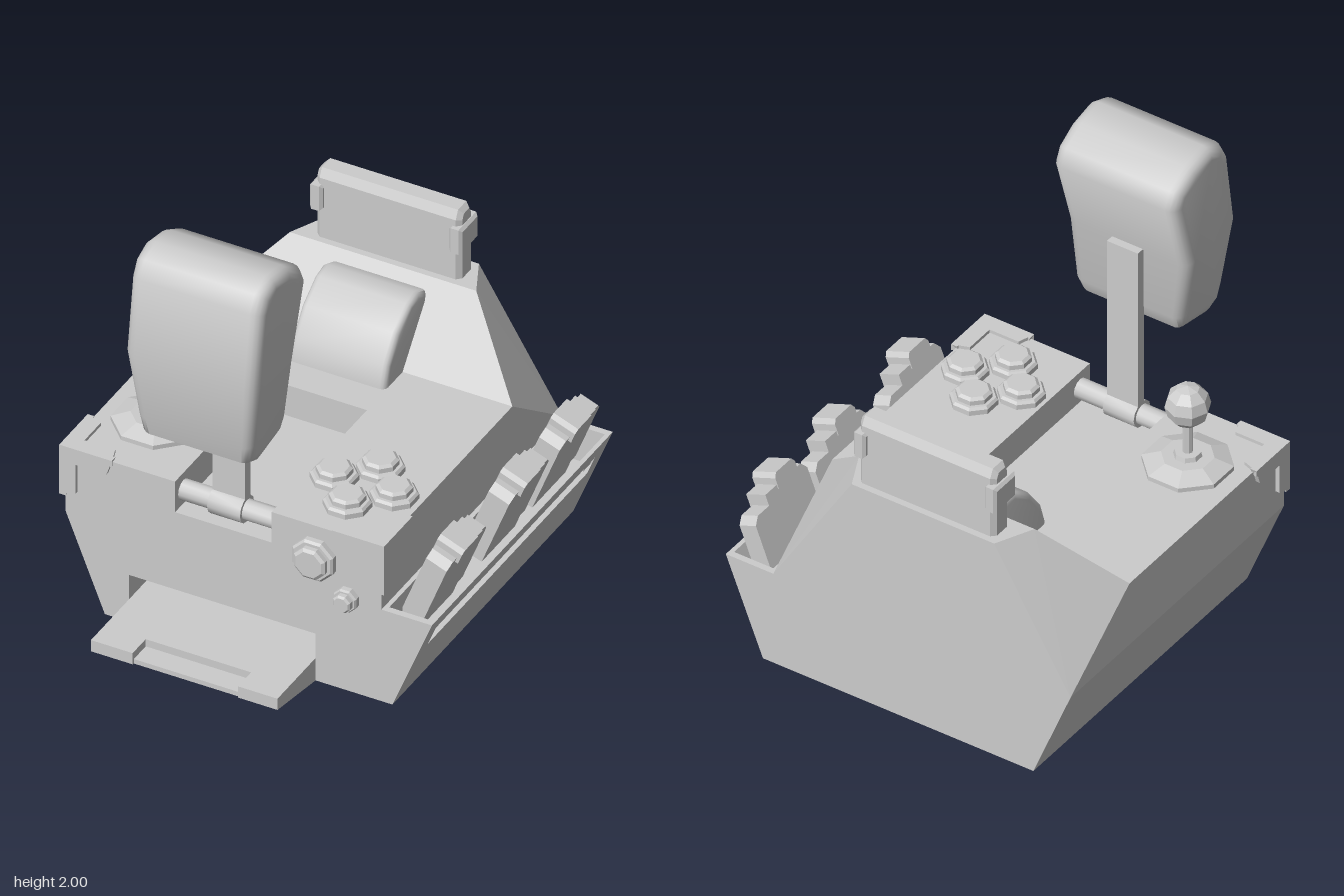
import * as THREE from 'three';
import { toCreasedNormals } from 'three/addons/utils/BufferGeometryUtils.js';

const flat = new THREE.MeshStandardMaterial({ color: 0xcccccc, flatShading: true });
const shell = new THREE.MeshStandardMaterial({ color: 0xcccccc, flatShading: true, side: THREE.DoubleSide });
const smooth = new THREE.MeshStandardMaterial({ color: 0xcccccc });

function add(parent, name, geo, mat = flat, x = 0, y = 0, z = 0) {
  const m = new THREE.Mesh(geo, mat);
  m.name = name;
  m.position.set(x, y, z);
  parent.add(m);
  return m;
}

const shapeOf = pts => new THREE.Shape(pts.map(p => new THREE.Vector2(p[0], p[1])));

// Planar polygon in space (counter-clockwise from its front), optionally with holes, as triangles.
function face(out, pts, ...holes) {
  const v = l => l.map(p => new THREE.Vector3(...p));
  const outer = v(pts), inner = holes.map(v);
  const n = new THREE.Vector3();
  outer.forEach((a, i) => n.add(a.clone().cross(outer[(i + 1) % outer.length])));
  n.normalize();
  const u = outer[1].clone().sub(outer[0]).normalize();
  const w = n.clone().cross(u);
  const flatten = l => l.map(p => new THREE.Vector2(p.dot(u), p.dot(w)));
  const all = outer.concat(...inner), all2 = flatten(all);
  for (const [a, b, c] of THREE.ShapeUtils.triangulateShape(flatten(outer), inner.map(flatten))) {
    const up = all2[b].clone().sub(all2[a]).cross(all2[c].clone().sub(all2[a])) > 0;
    for (const i of up ? [a, b, c] : [a, c, b]) out.push(...all[i].toArray());
  }
}

// Side profile of [z, y] points swept from x0 to x1, with an optional rounded rim.
function sweepX(pts, x0, x1, bevel = 0, segments = 3) {
  const g = new THREE.ExtrudeGeometry(shapeOf(pts), {
    depth: x1 - x0 - 2 * bevel, bevelEnabled: bevel > 0, bevelThickness: bevel,
    bevelSize: bevel, bevelOffset: -bevel, bevelSegments: segments,
  });
  return g.rotateY(-Math.PI / 2).translate(x1 - bevel, 0, 0);
}

function bodyGeometry() {
  const out = [], F = 0.6, B = -0.92, D = 0.76, H = 1.07;
  const atZ = (z, l) => l.map(p => [p[0], p[1], z]);
  const atY = (y, l) => l.map(p => [p[0], y, p[1]]);
  // front with foot recess and axle notch, back, underside
  face(out, atZ(F, [[-0.66, 0], [-0.55, 0], [-0.55, 0.23], [0.3, 0.23], [0.3, 0], [0.65, 0], [0.83, 0.45],
    [0.6, 0.45], [0.6, D], [0.1, D], [0.1, 0.61], [-0.34, 0.61], [-0.34, D], [-0.84, D], [-0.84, 0.45]]));
  face(out, atZ(B, [[0.65, 0], [-0.66, 0], [-0.84, 0.45], [-0.47, H], [0.22, H], [0.6, 0.45], [0.83, 0.45]]));
  face(out, atY(0, [[-0.66, B], [0.65, B], [0.65, F], [-0.66, F]]));
  // deck with the open channel
  face(out, atY(D, [[-0.84, F], [-0.34, F], [-0.34, -0.2], [0.1, -0.2], [0.1, F], [0.6, F], [0.6, -0.5], [-0.84, -0.5]]));
  face(out, atY(0.61, [[-0.34, F], [0.1, F], [0.1, -0.2], [-0.34, -0.2]]));
  face(out, atZ(-0.2, [[-0.34, 0.61], [0.1, 0.61], [0.1, D], [-0.34, D]]));
  face(out, [[-0.34, 0.61, F], [-0.34, 0.61, -0.2], [-0.34, D, -0.2], [-0.34, D, F]]);
  face(out, [[0.1, 0.61, -0.2], [0.1, 0.61, F], [0.1, D, F], [0.1, D, -0.2]]);
  // left and right sides
  face(out, [[-0.66, 0, B], [-0.66, 0, F], [-0.84, 0.45, F], [-0.84, 0.45, B]]);
  face(out, [[-0.84, 0.45, B], [-0.84, 0.45, F], [-0.84, D, F], [-0.84, D, -0.5]]);
  face(out, [[0.6, 0.45, F], [0.6, 0.45, B], [0.6, D, -0.5], [0.6, D, F]]);
  // rear hump
  face(out, [[-0.84, D, -0.5], [0.6, D, -0.5], [0.3, H, -0.75], [-0.55, H, -0.75]]);
  face(out, [[-0.55, H, -0.75], [0.3, H, -0.75], [0.22, H, B], [-0.47, H, B]]);
  face(out, [[-0.84, 0.45, B], [-0.84, D, -0.5], [-0.55, H, -0.75], [-0.47, H, B]]);
  face(out, [[0.6, 0.45, B], [0.22, H, B], [0.3, H, -0.75], [0.6, D, -0.5]]);
  // foot recess
  face(out, atZ(0.35, [[-0.55, 0], [0.3, 0], [0.3, 0.23], [-0.55, 0.23]]));
  face(out, atY(0.23, [[-0.55, 0.35], [0.3, 0.35], [0.3, F], [-0.55, F]]));
  face(out, [[-0.55, 0, F], [-0.55, 0, 0.35], [-0.55, 0.23, 0.35], [-0.55, 0.23, F]]);
  face(out, [[0.3, 0, 0.35], [0.3, 0, F], [0.3, 0.23, F], [0.3, 0.23, 0.35]]);
  // right ledge with its pocket, and the slotted sloping wall
  const P0 = 0.57, P1 = -0.89;
  const at = (y, z, inset = 0) => [0.65 + 0.4 * y - inset, y, z];
  const slot = inset => [at(0.28, 0.51, inset), at(0.28, -0.83, inset), at(0.37, -0.83, inset), at(0.37, 0.51, inset)];
  face(out, [at(0, F), at(0, B), at(0.45, B), at(0.45, F)], slot(0));
  face(out, [at(0.27, P1, 0.02), at(0.27, P0, 0.02), at(0.45, P0, 0.02), at(0.45, P1, 0.02)], slot(0.02));
  face(out, atY(0.45, [[0.6, F], [0.83, F], [0.83, B], [0.6, B]]),
    atY(0.45, [[0.62, P0], [0.81, P0], [0.81, P1], [0.62, P1]]));
  face(out, atY(0.28, [[0.62, P0], [0.762, P0], [0.762, P1], [0.62, P1]]));
  face(out, [[0.62, 0.28, P0], [0.62, 0.28, P1], [0.62, 0.45, P1], [0.62, 0.45, P0]]);
  face(out, atZ(P1, [[0.62, 0.28], [0.742, 0.28], [0.81, 0.45], [0.62, 0.45]]));
  face(out, atZ(P0, [[0.742, 0.28], [0.62, 0.28], [0.62, 0.45], [0.81, 0.45]]));
  const g = new THREE.BufferGeometry();
  g.setAttribute('position', new THREE.Float32BufferAttribute(out, 3));
  g.computeVertexNormals();
  return g;
}

// Eight-sided turned part from [radius, height] points.
const turned = pts => new THREE.LatheGeometry(pts.map(p => new THREE.Vector2(p[0], p[1])), 8).rotateY(Math.PI / 8);
const buttonGeometry = (r, h) => turned([[r, 0], [r, h * 0.4], [r * 0.9, h * 0.55], [r * 0.76, h * 0.55],
  [r * 0.76, h * 0.85], [r * 0.62, h], [0, h]]);

// Three L-shaped plates meeting at a corner.
function cornerBracket() {
  const g = new THREE.Group(), t = 0.03;
  g.name = 'cornerBracket';
  const L = [[0, 0], [0.24, 0], [0.215, 0.075], [0.075, 0.075], [0.075, 0.215], [0, 0.24]];
  const opt = { depth: t, bevelEnabled: false };
  const up = () => new THREE.ExtrudeGeometry(shapeOf(L), opt);
  const down = () => new THREE.ExtrudeGeometry(shapeOf(L.map(p => [p[0], -p[1]])), opt);
  add(g, 'topPlate', up().rotateX(-Math.PI / 2).translate(0, -t, 0));
  add(g, 'frontPlate', down().translate(0, 0, -t));
  add(g, 'sidePlate', down().rotateY(Math.PI / 2));
  return g;
}

export function createModel() {
  const model = new THREE.Group();
  model.name = 'controlConsole';
  add(model, 'body', bodyGeometry(), shell);

  // Foot plate with a shallow notch at its front
  const foot = new THREE.Group();
  foot.name = 'footPlate';
  model.add(foot);
  const plate = [[0.36, 0], [0.6, 0], [0.92, 0.055], [0.92, 0.11], [0.36, 0.11]];
  add(foot, 'plateRight', sweepX(plate, -0.55, -0.36));
  add(foot, 'plateLeft', sweepX(plate, 0.12, 0.3));
  add(foot, 'plateMiddle', sweepX([[0.36, 0], [0.6, 0], [0.91, 0.053], [0.91, 0.075],
    [0.81, 0.075], [0.81, 0.11], [0.36, 0.11]], -0.36, 0.12));

  // Lever: axle, hub, stalk and padded paddle
  const lever = new THREE.Group();
  lever.name = 'lever';
  model.add(lever);
  const rod = (r, len) => toCreasedNormals(new THREE.CylinderGeometry(r, r, len, 12).rotateZ(Math.PI / 2), 0.7);
  add(lever, 'axle', rod(0.045, 0.44), smooth, -0.12, 0.68, 0.53);
  add(lever, 'hub', rod(0.06, 0.15), smooth, -0.125, 0.68, 0.53);
  add(lever, 'stalk', new THREE.BoxGeometry(0.15, 0.83, 0.045), flat, -0.125, 1.095, 0.523);
  const pad = sweepX([[0.71, 2], [0.58, 1.975], [0.475, 1.915], [0.44, 1.84], [0.54, 1.5], [0.54, 1.22],
    [0.57, 1.15], [0.76, 1.11], [0.835, 1.145], [0.853, 1.23], [0.89, 1.55], [0.84, 1.89], [0.8, 1.965]],
    -0.42, 0.18, 0.05, 4);
  const pos = pad.attributes.position;
  for (let i = 0; i < pos.count; i++) { // narrows below the middle
    const k = 1 - 0.17 * Math.max(0, 1.53 - pos.getY(i)) / 0.42;
    pos.setX(i, -0.12 + (pos.getX(i) + 0.12) * k);
  }
  add(lever, 'paddle', toCreasedNormals(pad, 0.9), smooth);

  // Cushion leaning on the hump
  add(model, 'cushion', toCreasedNormals(sweepX([[-0.35, 0.7], [-0.352, 0.77], [-0.38, 0.86], [-0.46, 0.97],
    [-0.57, 1.045], [-0.64, 1.06], [-0.71, 1.03], [-0.71, 0.7]], -0.34, 0.1, 0.025), 0.9), smooth);

  // Display slab with side clamps
  const display = new THREE.Group();
  display.name = 'display';
  model.add(display);
  add(display, 'slab', sweepX([[-0.78, 1.05], [-0.78, 1.36], [-0.8, 1.4], [-0.87, 1.4], [-0.89, 1.36], [-0.89, 1.05]],
    -0.45, 0.21, 0.02, 1));
  for (const x of [-0.44, 0.195])
    add(display, 'clamp', sweepX([[-0.76, 1.21], [-0.76, 1.33], [-0.91, 1.33], [-0.91, 1.21]], x - 0.03, x + 0.03, 0.012, 1));

  // Joystick
  const stick = new THREE.Group();
  stick.name = 'joystick';
  stick.position.set(-0.595, 0.75, 0.275);
  model.add(stick);
  add(stick, 'base', turned([[0.19, 0], [0.19, 0.03], [0.11, 0.06], [0.06, 0.06], [0.055, 0.08], [0, 0.08]]));
  add(stick, 'shaft', new THREE.CylinderGeometry(0.022, 0.022, 0.22, 8), flat, 0, 0.16, 0);
  add(stick, 'ball', new THREE.SphereGeometry(0.096, 8, 6), flat, 0, 0.312, 0);

  // Buttons on the deck and on the front
  for (const [x, z] of [[0.345, 0.135], [0.21, 0.275], [0.483, 0.275], [0.345, 0.415]])
    add(model, 'deckButton', buttonGeometry(0.1, 0.07), flat, x, 0.755, z);
  for (const [x, y, r] of [[0.3, 0.605, 0.1], [0.447, 0.457, 0.055]])
    add(model, 'frontButton', buttonGeometry(r, 0.065), flat, x, y, 0.597).rotation.x = Math.PI / 2;

  // Corner brackets
  for (const [x, turn] of [[-0.86, 0], [0.62, Math.PI / 2]]) {
    const b = cornerBracket();
    b.position.set(x, 0.775, 0.615);
    b.rotation.y = turn;
    model.add(b);
  }

  // Three leaning cartridges in the side pocket
  for (const z of [0.46, -0.065, -0.49]) {
    const c = new THREE.Group();
    c.name = 'cartridge';
    c.position.set(0.7, 0.45, z);
    c.rotation.z = -0.37;
    model.add(c);
    add(c, 'mainBlock', sweepX([[0, -0.14], [0, 0.205], [-0.03, 0.24], [-0.28, 0.24], [-0.28, -0.14]], -0.05, 0.05));
    add(c, 'lowBlock', sweepX([[-0.27, -0.14], [-0.27, 0.19], [-0.36, 0.19], [-0.39, 0.16], [-0.39, -0.14]], -0.05, 0.035));
    add(c, 'cap', sweepX([[-0.06, 0.22], [-0.06, 0.27], [-0.075, 0.29], [-0.185, 0.29], [-0.2, 0.27], [-0.2, 0.22]], -0.055, 0.065));
  }
  return model;
}
